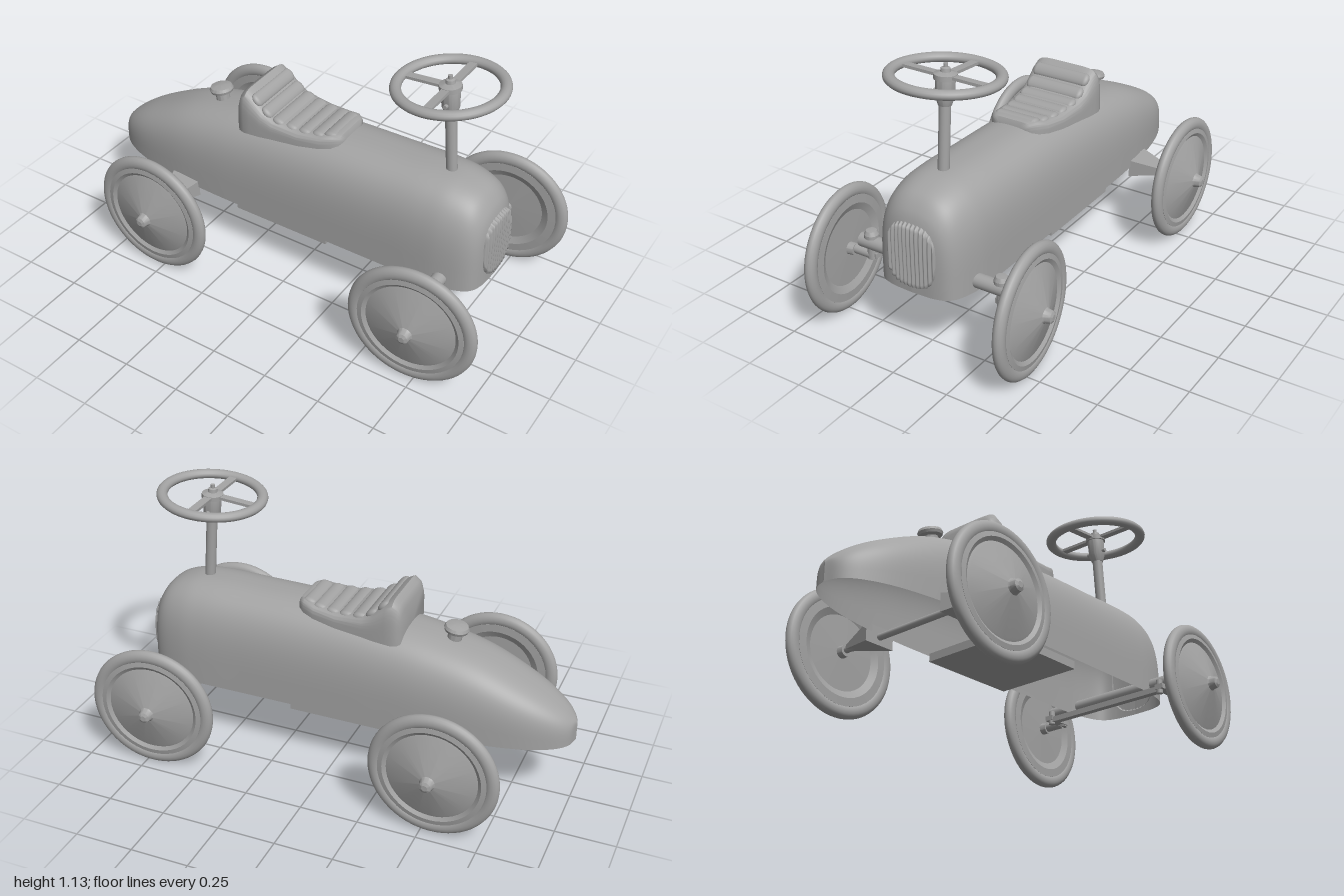
import * as THREE from 'three';
import { toCreasedNormals } from 'three/addons/utils/BufferGeometryUtils.js';

const grey = new THREE.MeshStandardMaterial({ color: 0xa3a3a3, side: THREE.DoubleSide });
grey.name = 'plain grey';

function add(parent, name, geometry, x = 0, y = 0, z = 0) {
  const mesh = new THREE.Mesh(geometry, grey);
  mesh.name = name;
  mesh.position.set(x, y, z);
  parent.add(mesh);
  return mesh;
}

// Skin between rows of points of equal length
function loft(rows) {
  const n = rows[0].length, index = [];
  for (let i = 0; i < rows.length - 1; i++) {
    for (let j = 0; j < n - 1; j++) {
      const a = i * n + j, b = a + n;
      index.push(a, b, a + 1, b, b + 1, a + 1);
    }
  }
  const g = new THREE.BufferGeometry();
  g.setAttribute('position', new THREE.Float32BufferAttribute(rows.flat(2), 3));
  g.setIndex(index);
  g.computeVertexNormals();
  return g;
}

// Arched cross-section at x, open at the bottom
function arch(x, base, top, w, n, m, steps = 48) {
  return Array.from({ length: steps + 1 }, (_, i) => {
    const a = Math.PI * i / steps, c = Math.cos(a), s = Math.max(0, Math.sin(a));
    return [x, base + (top - base) * s ** (2 / m), w * Math.sign(c) * Math.abs(c) ** (2 / n)];
  });
}

function lathe(points, steps = 48) {
  const g = new THREE.LatheGeometry(points.map(p => new THREE.Vector2(...p)), steps);
  return toCreasedNormals(g, 0.45);
}

// Each body station is (x, top height, half width)
const BASE = 0.29;
const hull = new THREE.CatmullRomCurve3([
  [-1, 0.37, 0], [-0.985, 0.39, 0.055], [-0.95, 0.425, 0.095], [-0.88, 0.475, 0.135],
  [-0.78, 0.53, 0.168], [-0.6, 0.61, 0.198], [-0.4, 0.66, 0.21], [-0.2, 0.69, 0.212],
  [0.1, 0.71, 0.212], [0.4, 0.717, 0.212], [0.6, 0.72, 0.212], [0.7, 0.712, 0.206],
  [0.79, 0.68, 0.185], [0.835, 0.63, 0.155], [0.857, 0.57, 0.1], [0.864, 0.52, 0],
].map(p => new THREE.Vector3(...p)));

// Where the nose surface lies for a given height and side position
function noseX(y, z) {
  let lo = 0.6, hi = 1;
  for (let k = 0; k < 18; k++) {
    const t = (lo + hi) / 2, p = hull.getPoint(t);
    const v = (Math.abs(z) / Math.max(p.z, 1e-4)) ** 2.5 + ((y - BASE) / (p.y - BASE)) ** 4;
    if (v < 1) lo = t; else hi = t;
  }
  return Math.max(hull.getPoint(lo).x, 0.822);
}

function makeBody(car) {
  const rows = [];
  for (let i = 0; i <= 110; i++) {
    const p = hull.getPoint(i / 110);
    rows.push(arch(p.x, BASE, p.y, Math.max(p.z, 0), 2.5, 4));
  }
  add(car, 'bodyShell', loft(rows));
  add(car, 'floorPlate', new THREE.BoxGeometry(0.45, 0.035, 0.39), -0.045, 0.273, 0);

  // Ribbed grille that hugs the nose, with a rim turned back into it
  const cols = [], count = 72, half = 0.112;
  for (let i = 0; i <= count; i++) {
    const u = -1 + 2 * i / count, z = u * half;
    const r = Math.max(0, 1 - Math.abs(u) ** 3) ** (1 / 2.5);
    const col = [];
    for (let j = 0; j <= 20; j++) {
      const y = 0.45 + 0.14 * r * (1 - 2 * j / 20);
      const edge = j === 0 || j === 20 || i === 0 || i === count;
      const rib = 0.005 * Math.sin(i * Math.PI / 3);
      col.push([noseX(y, z) + (edge ? -0.008 : 0.01 + rib), y, z]);
    }
    cols.push(col);
  }
  add(car, 'grille', loft(cols));

  // Filler cap on the tail
  const cap = add(car, 'fillerCap', lathe([[0, -0.05], [0.03, -0.05], [0.03, -0.005],
    [0.048, 0], [0.052, 0.012], [0.046, 0.024], [0.02, 0.03], [0, 0.03]]), -0.475, 0.68, 0);
  cap.rotation.z = 0.15;
}

function makeSeat(car) {
  const seat = new THREE.Group();
  seat.name = 'seat';
  car.add(seat);
  // x, top, half width, bottom
  const stations = [
    [-0.287, 0.785, 0.14, 0.645], [-0.275, 0.815, 0.152, 0.64], [-0.25, 0.832, 0.16, 0.64],
    [-0.22, 0.815, 0.16, 0.642], [-0.17, 0.765, 0.157, 0.645], [-0.12, 0.735, 0.152, 0.65],
    [0, 0.72, 0.143, 0.66], [0.1, 0.728, 0.13, 0.67], [0.15, 0.742, 0.115, 0.678],
    [0.175, 0.735, 0.095, 0.685], [0.185, 0.715, 0.07, 0.688],
  ];
  const rows = stations.map(([x, top, w, base]) => arch(x, base, top, w, 7, 5));
  const flat = row => row.map(p => [p[0], 0.67, 0]);
  rows.unshift(flat(rows[0]));
  rows.push(flat(rows[rows.length - 1]));
  add(seat, 'seatShell', toCreasedNormals(loft(rows), 0.8));

  // Padded rolls: x, y, half length, slope
  for (const [x, y, l, slope] of [[-0.205, 0.793, 0.115, -0.8], [-0.155, 0.75, 0.115, -0.65],
    [-0.1, 0.725, 0.112, -0.2], [-0.04, 0.716, 0.106, -0.1], [0.02, 0.714, 0.1, 0.04],
    [0.08, 0.718, 0.092, 0.1], [0.13, 0.728, 0.08, 0.2]]) {
    const g = new THREE.CapsuleGeometry(0.02, 2 * l, 6, 16).rotateX(Math.PI / 2).scale(1.5, 0.8, 1);
    add(seat, 'seatRoll', g, x, y, 0).rotation.z = slope;
  }
}

function makeWheel(car, name, x, side, turn) {
  const wheel = new THREE.Group();
  wheel.name = name;
  wheel.position.set(x, 0.275, side * 0.433);
  wheel.rotation.y = turn + (side < 0 ? Math.PI : 0);
  car.add(wheel);
  add(wheel, 'tyre', new THREE.TorusGeometry(0.242, 0.03, 16, 64).scale(1, 1, 0.8));
  // Dished disc with rim lip, hub and nut
  const disc = lathe([[0, -0.04], [0.024, -0.04], [0.026, -0.012], [0.16, -0.008], [0.19, -0.022],
    [0.225, -0.02], [0.225, 0.02], [0.205, 0.024], [0.19, 0.014], [0.18, 0.018], [0.032, 0.064],
    [0.028, 0.07], [0.024, 0.092], [0.012, 0.098], [0, 0.098]]);
  add(wheel, 'wheelDisc', disc.rotateX(Math.PI / 2));
}

function makeRunningGear(car) {
  const rod = (name, r, length, x, y, z) =>
    add(car, name, new THREE.CylinderGeometry(r, r, length, 24).rotateX(Math.PI / 2), x, y, z);
  rod('rearAxle', 0.014, 0.84, -0.54, 0.278, 0);
  rod('frontAxle', 0.03, 0.72, 0.715, 0.333, 0);
  add(car, 'tieRod', new THREE.BoxGeometry(0.03, 0.024, 0.6), 0.635, 0.27, 0);

  for (const s of [1, -1]) {
    makeWheel(car, 'rearWheel', -0.54, s, 0);
    makeWheel(car, 'frontWheel', s > 0 ? 0.724 : 0.708, s, 0.085);
    // Rear bracket tapers from the body to the hub
    const bracket = new THREE.CylinderGeometry(0.022, 0.1, 0.18, 4, 1).toNonIndexed();
    bracket.rotateY(Math.PI / 4).scale(1, 1, 0.55).rotateX(s * Math.PI / 2);
    bracket.computeVertexNormals();
    add(car, 'rearBracket', bracket, -0.54, 0.282, s * 0.29);
    // Steering knuckle, stub and arm
    add(car, 'kingpin', lathe([[0, -0.07], [0.02, -0.07], [0.02, 0.02], [0.03, 0.025],
      [0.03, 0.04], [0.022, 0.056], [0, 0.058]], 24), 0.715, 0.333, s * 0.31);
    rod('stubAxle', 0.02, 0.1, 0.715, 0.278, s * 0.36);
    add(car, 'steeringArm', new THREE.BoxGeometry(0.11, 0.022, 0.04), 0.67, 0.278, s * 0.305);
    add(car, 'armBolt', new THREE.CylinderGeometry(0.014, 0.014, 0.06, 16), 0.63, 0.28, s * 0.3);
  }
}

function makeSteering(car) {
  const steering = new THREE.Group();
  steering.name = 'steering';
  steering.position.set(0.606, 1.088, 0);
  steering.rotation.z = 0.085;
  car.add(steering);
  add(steering, 'column', new THREE.CylinderGeometry(0.023, 0.023, 0.42, 24), 0, -0.2, 0);
  add(steering, 'collar', lathe([[0, -0.115], [0.026, -0.115], [0.036, -0.085], [0.038, -0.02],
    [0.036, 0], [0, 0]]));
  add(steering, 'collarBolt', new THREE.CylinderGeometry(0.009, 0.009, 0.1, 12)
    .rotateX(Math.PI / 2), 0, -0.068, 0);
  add(steering, 'rim', new THREE.TorusGeometry(0.208, 0.023, 14, 64)
    .rotateX(Math.PI / 2).scale(1, 0.85, 1));
  add(steering, 'hub', lathe([[0, -0.012], [0.045, -0.012], [0.045, 0.008], [0.02, 0.016],
    [0.018, 0.03], [0.009, 0.034], [0.009, 0.048], [0, 0.05]], 24));
  for (const a of [Math.PI / 2, Math.PI, -Math.PI / 2]) {
    const spoke = new THREE.BoxGeometry(0.18, 0.012, 0.034).translate(0.11, 0, 0);
    add(steering, 'spoke', spoke).rotation.y = a;
  }
}

export function createModel() {
  const car = new THREE.Group();
  car.name = 'rideOnCar';
  makeBody(car);
  makeSeat(car);
  makeRunningGear(car);
  makeSteering(car);
  return car;
}
